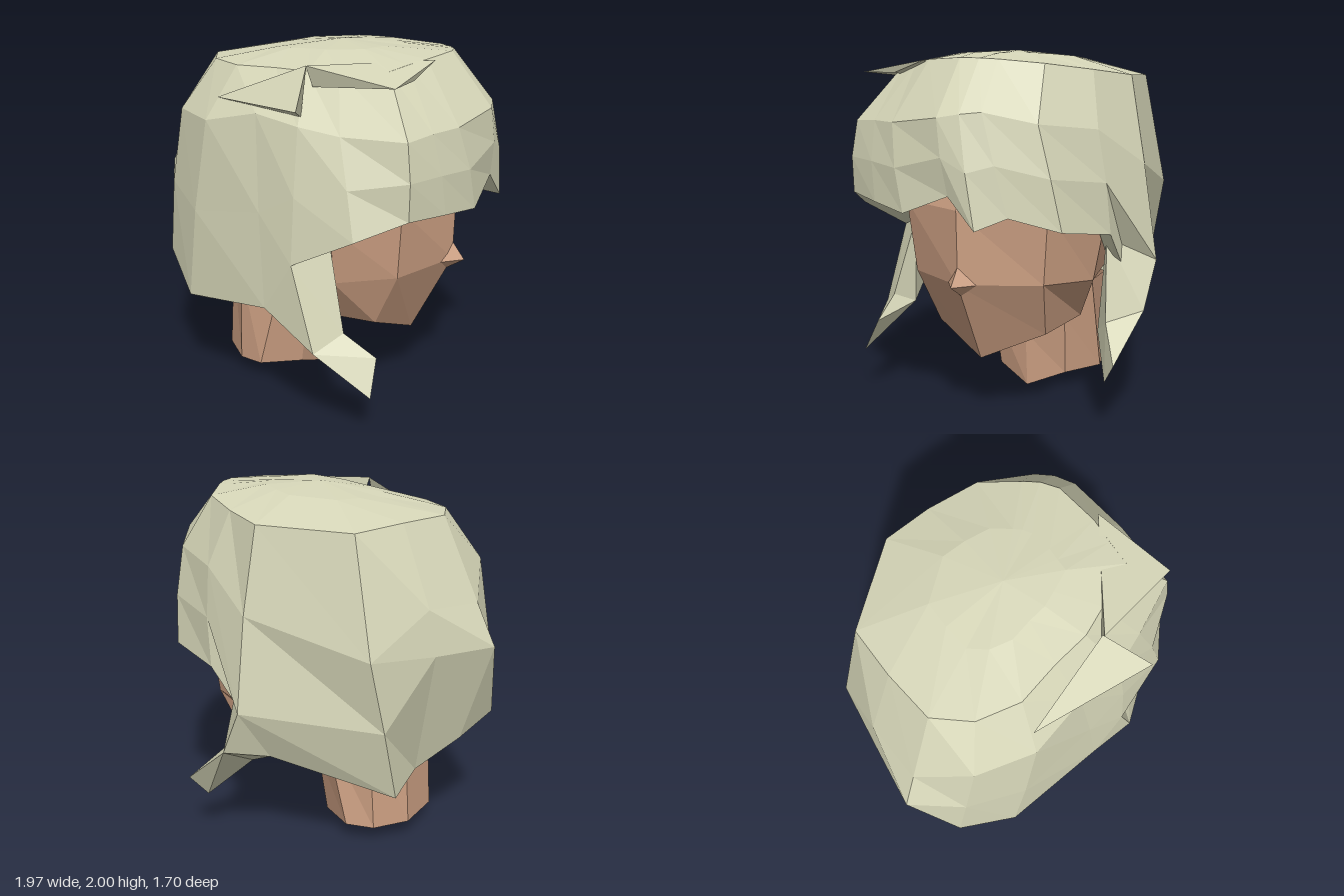
import * as THREE from 'three';
import { ConvexGeometry } from 'three/addons/geometries/ConvexGeometry.js';

const hairMat = new THREE.MeshStandardMaterial({ color: 0xd6d6b8, flatShading: true, side: THREE.DoubleSide });
hairMat.name = 'paleHair';
const skinMat = new THREE.MeshStandardMaterial({ color: 0xcda083, flatShading: true, side: THREE.DoubleSide });
skinMat.name = 'skin';

// Closed faceted surface through rings of points, listed top to bottom
function loft(rings) {
  const pos = [];
  for (let i = 0; i < rings.length - 1; i++) {
    const n = rings[i].length;
    for (let j = 0; j < n; j++) {
      const k = (j + 1) % n;
      const a = rings[i][j], b = rings[i][k], c = rings[i + 1][j], d = rings[i + 1][k];
      pos.push(...a, ...b, ...c, ...b, ...d, ...c);
    }
  }
  const g = new THREE.BufferGeometry();
  g.setAttribute('position', new THREE.Float32BufferAttribute(pos, 3));
  g.computeVertexNormals();
  return g;
}

// Full ring from a half ring, mirrored across z = 0
function mirrorRing(half) {
  const other = half.filter(p => p[2] > 0).reverse().map(([x, y, z]) => [x, y, -z]);
  return [...half, ...other];
}

const pointRing = (p, n) => Array.from({ length: n }, () => p);

function add(group, name, geometry, material) {
  const mesh = new THREE.Mesh(geometry, material);
  mesh.name = name;
  group.add(mesh);
}

const hull = pts => new ConvexGeometry(pts.map(p => new THREE.Vector3(...p)));

// Hair strands around the head: widest point, hem, and a bulge where the strand is not straight
const strands = [
  { mid: [0.95, 1.67, 0], hem: [0.95, 1.28, -0.06] },
  { mid: [0.85, 1.63, 0.34], hem: [0.93, 1.17, 0.23] },
  { mid: [0.76, 1.63, 0.52], hem: [0.83, 1.2, 0.48] },
  { mid: [0.68, 1.62, 0.7], hem: [0.7, 1.22, 0.72] },
  { mid: [0.33, 1.62, 0.7], hem: [0.45, 1.12, 0.84] },
  { mid: [0.1, 1.65, 0.69], hem: [0.1, 0.94, 0.8] },
  { mid: [-0.17, 1.68, 0.6], hem: [-0.08, 0.65, 0.74] },
  { mid: [-0.5, 1.6, 0.52], hem: [-0.65, 0.55, 0.5] },
  { mid: [-0.76, 1.6, 0.3], hem: [-0.89, 0.72, 0.26] },
  { mid: [-0.88, 1.43, 0], bulge: [-0.99, 1.2, 0], hem: [-0.8, 0.62, 0.02] },
  { mid: [-0.75, 1.45, -0.32], bulge: [-0.79, 1.2, -0.31], hem: [-0.62, 0.46, -0.17] },
  { mid: [-0.58, 1.22, -0.63], hem: [-0.64, 0.4, -0.44] },
  { mid: [0.1, 1.4, -0.77], bulge: [0.1, 0.88, -0.85], hem: [0, 0.6, -0.7] },
  { mid: [0.42, 1.6, -0.64], hem: [0.38, 1.05, -0.7] },
  { mid: [0.74, 1.64, -0.46], hem: [0.71, 1.1, -0.58] },
  { mid: [0.88, 1.7, -0.22], hem: [0.87, 1.18, -0.36] },
  { mid: [0.93, 1.69, -0.12], hem: [0.98, 1.12, -0.23] },
];

function hairShell() {
  const mids = strands.map(s => s.mid);
  const hems = strands.map(s => s.hem);
  const bulges = strands.map(({ mid, hem, bulge }) => bulge ??
    [(mid[0] + hem[0]) * 0.51, (mid[1] + hem[1]) / 2, (mid[2] + hem[2]) * 0.51]);
  // Crown narrows above the widest ring and tilts down to the back
  const rim = mids.map(([x, , z]) => {
    const rx = x * 0.76, rz = z * (z > 0 ? 0.7 : 0.88);
    return [rx, 1.92 + 0.06 * rx - 0.12 * rz * rz, rz];
  });
  const shoulder = rim.map(([x, y, z]) =>
    [(x + 0.1) / 2, (y + 2) / 2 + 0.05 * Math.abs(z), z / 2]);
  // Hem folds inward as a lip
  const lip = hems.map(([x, y, z]) => [x * 0.85, y + 0.03, z * 0.85]);
  return loft([pointRing([0.1, 2, 0], strands.length), shoulder, rim, mids, bulges, hems, lip]);
}

// Cheek lock: a root section and a pointed tip sharing the bend
function addLock(group, name, root, bend, tip) {
  add(group, name + 'Root', hull([...root, ...bend]), hairMat);
  add(group, name + 'Tip', hull([...bend, ...tip]), hairMat);
}

export function createModel() {
  const model = new THREE.Group();
  model.name = 'headBust';

  // Hair
  const hair = new THREE.Group();
  hair.name = 'hair';
  model.add(hair);
  add(hair, 'hairShell', hairShell(), hairMat);

  // Loose tufts at the side, crown and nape
  add(hair, 'sideTuft', hull([[-0.45, 1.72, 0.47], [0.1, 1.94, 0.56], [0.1, 1.69, 0.64], [0.15, 1.76, 0.84]]), hairMat);
  add(hair, 'crownTuft', hull([[0.1, 1.94, 0.57], [0.13, 1.83, 0.55], [0.69, 1.95, 0.24], [0.64, 1.88, 0.47], [0.61, 1.88, 0.7]]), hairMat);
  add(hair, 'napeTuft', hull([[-0.65, 0.55, 0.5], [-0.87, 0.72, 0.26], [-0.61, 0.46, 0.33], [-0.6, 0.7, 0.3]]), hairMat);

  // Locks in front of the ears
  addLock(hair, 'leftSideLock',
    [[0.1, 0.94, 0.8], [-0.08, 0.65, 0.74], [0.25, 1.01, 0.62]],
    [[0.36, 0.56, 0.71], [0.24, 0.48, 0.85], [0.24, 0.5, 0.64]],
    [[0.54, 0.25, 0.8], [0.54, 0.44, 0.7]]);
  addLock(hair, 'rightSideLock',
    [[0.1, 0.88, -0.85], [0, 0.6, -0.7], [0.25, 1.02, -0.62]],
    [[0.22, 0.62, -0.83], [0.34, 0.56, -0.66], [0.22, 0.47, -0.56]],
    [[0.44, 0.26, -0.7], [0.51, 0.38, -0.78]]);

  // Head: scalp, brow, cheeks, jaw
  const headRings = [
    [[0.6, 1.6, 0], [0.46, 1.58, 0.34], [0.1, 1.58, 0.45], [-0.35, 1.55, 0.3], [-0.5, 1.55, 0]],
    [[0.78, 1.18, 0], [0.59, 1.18, 0.44], [0.25, 1.1, 0.61], [-0.4, 1.1, 0.45], [-0.65, 1.1, 0]],
    [[0.77, 0.78, 0], [0.56, 0.78, 0.4], [0.24, 0.76, 0.54], [-0.35, 0.8, 0.4], [-0.58, 0.8, 0]],
    [[0.54, 0.32, 0], [0.42, 0.47, 0.34], [0.06, 0.5, 0.38], [-0.3, 0.6, 0.25], [-0.5, 0.6, 0]],
  ].map(mirrorRing);
  const n = headRings[0].length;
  add(model, 'head', loft([pointRing([0.05, 1.68, 0], n), ...headRings, pointRing([0.03, 0.32, 0], n)]), skinMat);

  // Nose
  add(model, 'nose', hull([[0.77, 0.88, 0], [0.84, 0.78, 0], [0.72, 0.78, 0.09], [0.72, 0.78, -0.09], [0.71, 0.7, 0]]), skinMat);

  // Neck with a pointed front edge
  const neckRings = [
    [[0.02, 0.33, 0], [-0.02, 0.45, 0.24], [-0.14, 0.66, 0.36], [-0.41, 0.66, 0.32], [-0.54, 0.66, 0.14]],
    [[0, 0, 0], [-0.07, 0.09, 0.22], [-0.28, 0.1, 0.355], [-0.43, 0.09, 0.3], [-0.57, 0.1, 0.14]],
  ].map(mirrorRing);
  add(model, 'neck', loft([...neckRings, pointRing([-0.28, 0.09, 0], neckRings[0].length)]), skinMat);

  return model;
}
